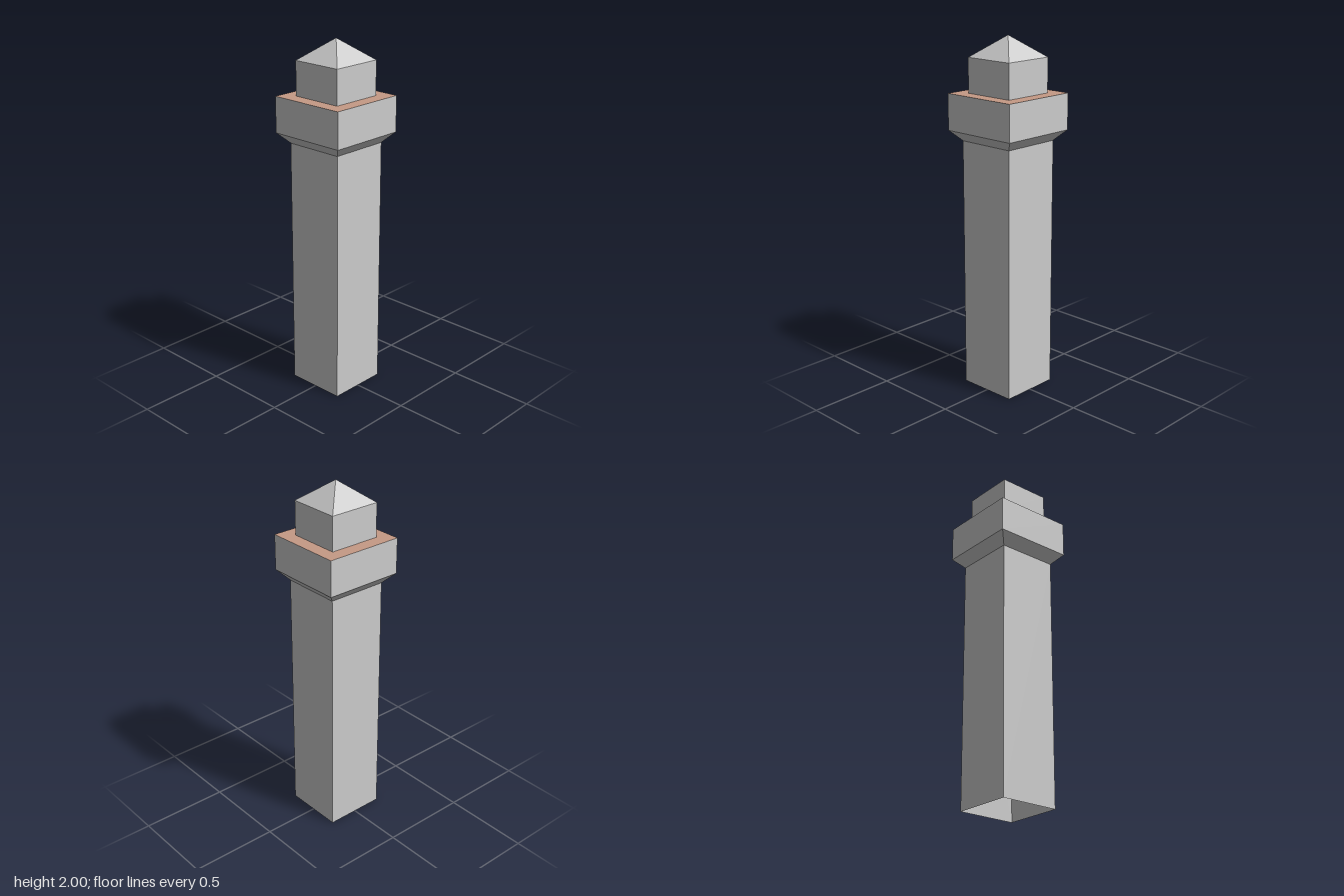
import * as THREE from 'three';

export function createModel() {
  const model = new THREE.Group();
  const material = (name, color) =>
    new THREE.MeshStandardMaterial({ name, color, flatShading: true, side: THREE.DoubleSide });
  const stone = material('grey stone', 0xcccccc);
  const terracotta = material('terracotta', 0xc69a86);

  // Open square tube between two heights, given by its half widths
  function squareSection(name, bottomHalf, topHalf, y0, y1) {
    const geometry = new THREE.CylinderGeometry(
      topHalf * Math.SQRT2, bottomHalf * Math.SQRT2, y1 - y0, 4, 1, true, Math.PI / 4);
    const mesh = new THREE.Mesh(geometry, stone);
    mesh.name = name;
    mesh.position.y = (y0 + y1) / 2;
    model.add(mesh);
  }

  // Hollow shaft, flared collar and stacked blocks, bottom to top
  squareSection('shaft', 0.173, 0.173, 0, 1.43);
  squareSection('flaredCollar', 0.173, 0.228, 1.43, 1.488);
  squareSection('capitalBlock', 0.228, 0.228, 1.488, 1.69);
  squareSection('upperBlock', 0.15, 0.15, 1.69, 1.882);
  squareSection('pyramidCap', 0.15, 0, 1.882, 2);

  // Terracotta ledge around the upper block
  const square = (PathType, h) => new PathType(
    [[-h, -h], [h, -h], [h, h], [-h, h]].map(([x, y]) => new THREE.Vector2(x, y)));
  const ledgeShape = square(THREE.Shape, 0.228);
  ledgeShape.holes.push(square(THREE.Path, 0.15));
  const ledge = new THREE.Mesh(new THREE.ShapeGeometry(ledgeShape).rotateX(-Math.PI / 2), terracotta);
  ledge.name = 'ledge';
  ledge.position.y = 1.69;
  model.add(ledge);

  return model;
}
